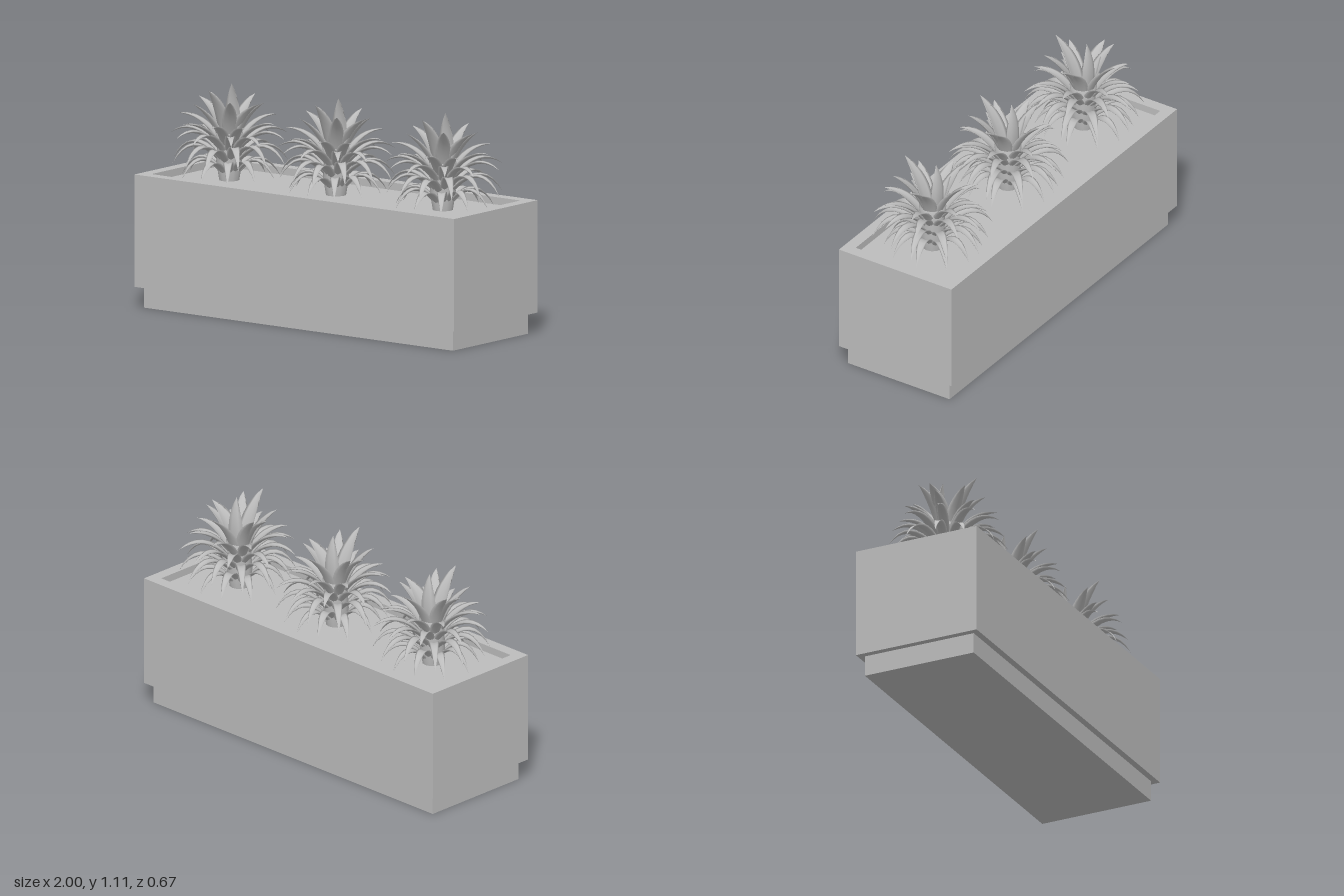
import * as THREE from 'three';

const stone = new THREE.MeshStandardMaterial({ color: 0xbcbcbc });
stone.name = 'pale grey';

function part(geometry, name, y = 0) {
  const mesh = new THREE.Mesh(geometry, stone);
  mesh.name = name;
  mesh.position.y = y;
  return mesh;
}

function rectangle(PathClass, x, z) {
  return new PathClass([[-x, -z], [x, -z], [x, z], [-x, z]].map(p => new THREE.Vector2(...p)));
}

// Channelled, pointed leaf arching outward along +z, swept with a crescent section
function leafGeometry(base, bend, tip, width) {
  const v = p => new THREE.Vector2(...p);
  const curve = new THREE.QuadraticBezierCurve(v(base), v(bend), v(tip));
  const rows = 9, sides = 8, positions = [], index = [];
  for (let i = 0; i <= rows; i++) {
    const t = i / rows, p = curve.getPoint(t), d = curve.getTangent(t);
    const w = width / 2 * Math.pow(Math.max(0.0001, Math.sin(Math.PI * (0.22 + 0.78 * t))), 0.85);
    for (let j = 0; j < sides; j++) {
      const a = j / sides * Math.PI * 2;
      const n = w * (0.45 * Math.cos(a) ** 2 + 0.16 * Math.sin(a));
      positions.push(w * Math.cos(a), p.y + n * d.x, p.x - n * d.y);
      if (i < rows) {
        const k = i * sides + j, l = i * sides + (j + 1) % sides;
        index.push(k, l, k + sides, l, l + sides, k + sides);
      }
    }
  }
  const geometry = new THREE.BufferGeometry();
  geometry.setAttribute('position', new THREE.Float32BufferAttribute(positions, 3));
  geometry.setIndex(index);
  geometry.computeVertexNormals();
  return geometry;
}

// Tiers from the soil upward: [leaf count, start angle, base, bend, tip (radius, height), width]
const tiers = [
  [11, 0.10, [0.03, 0.64], [0.16, 0.82], [0.265, 0.645], 0.05],
  [12, 0.30, [0.03, 0.70], [0.20, 0.90], [0.315, 0.72], 0.05],
  [10, 0.00, [0.03, 0.74], [0.17, 0.93], [0.31, 0.84], 0.052],
  [8, 0.25, [0.03, 0.77], [0.13, 0.94], [0.275, 0.935], 0.058],
  [5, 0.62, [0.03, 0.79], [0.08, 0.96], [0.20, 1.035], 0.075],
  [2, Math.PI / 2, [0.03, 0.80], [0.06, 0.96], [0.19, 1.03], 0.09],
  [1, 0, [0.03, 0.80], [0.06, 0.98], [0.165, 1.10], 0.09],
  [1, Math.PI, [0.03, 0.80], [0.07, 0.97], [0.02, 1.11], 0.10],
];

function createPlant() {
  const plant = new THREE.Group();
  let seed = 7;
  const jitter = () => ((seed = (seed * 16807) % 2147483647) / 2147483647) - 0.5;
  // Stem core with a hollow cup on top
  const core = [[0.05, 0.63], [0.065, 0.72], [0.06, 0.80], [0.068, 0.87], [0.045, 0.85], [0, 0.80]];
  plant.add(part(new THREE.LatheGeometry(core.map(p => new THREE.Vector2(...p)), 12), 'core'));
  for (const [count, start, base, bend, tip, width] of tiers) {
    const geometry = leafGeometry(base, bend, tip, width);
    for (let i = 0; i < count; i++) {
      const leaf = part(geometry, 'leaf');
      const wobble = count > 2 ? 1 : 0;
      leaf.rotation.y = start + i / count * Math.PI * 2 + jitter() * 0.16 * wobble;
      const reach = 1 - (0.5 + jitter()) * 0.12 * wobble;
      leaf.scale.set(1, 1 + jitter() * 0.03 * wobble, reach);
      plant.add(leaf);
    }
  }
  return plant;
}

export function createModel() {
  const model = new THREE.Group();
  model.name = 'planter';

  // Recessed plinth
  model.add(part(new THREE.BoxGeometry(1.934, 0.105, 0.6), 'plinth', 0.0525));

  // Trough walls around the soil
  const outline = rectangle(THREE.Shape, 1, 0.333);
  outline.holes.push(rectangle(THREE.Path, 0.94, 0.273));
  const walls = new THREE.ExtrudeGeometry(outline, { depth: 0.562, bevelEnabled: false });
  walls.rotateX(-Math.PI / 2);
  model.add(part(walls, 'trough', 0.105));
  model.add(part(new THREE.BoxGeometry(1.88, 0.525, 0.546), 'soil', 0.3675));

  // Three matching plants
  const plant = createPlant();
  for (const x of [-0.668, 0, 0.668]) {
    const copy = plant.clone();
    copy.name = 'plant';
    copy.position.x = x;
    model.add(copy);
  }
  return model;
}
